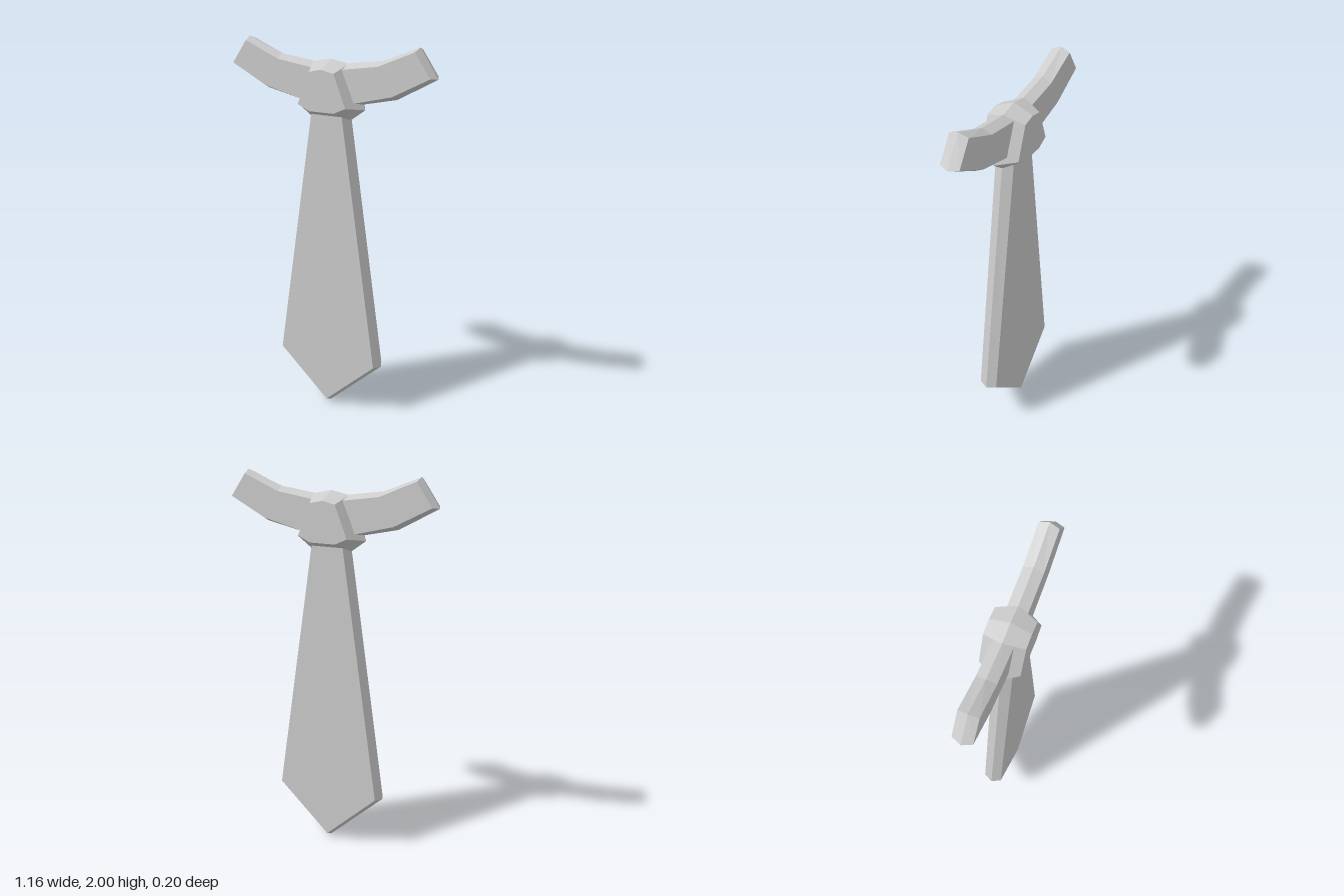
import * as THREE from 'three';

const material = new THREE.MeshStandardMaterial({ color: 0xcccccc, flatShading: true });

// Slab with a bevelled rim: wide outline at z = 0, inset outline at z = +-depth.
// Both outlines run counter-clockwise and have the same number of points.
function bevelledSlab(name, rim, face, depth) {
  const n = rim.length;
  const pos = [];
  const at = (p, z) => [p[0], p[1], z];
  const tri = (a, b, c) => pos.push(...a, ...b, ...c);
  const quad = (a, b, c, d) => { tri(a, b, c); tri(a, c, d); };

  // Sloping rims, front and back
  for (let i = 0; i < n; i++) {
    const j = (i + 1) % n;
    quad(at(rim[i], 0), at(rim[j], 0), at(face[j], depth), at(face[i], depth));
    quad(at(face[i], -depth), at(face[j], -depth), at(rim[j], 0), at(rim[i], 0));
  }
  // Flat faces
  const contour = face.map(([x, y]) => new THREE.Vector2(x, y));
  for (const [a, b, c] of THREE.ShapeUtils.triangulateShape(contour, [])) {
    tri(at(face[a], depth), at(face[b], depth), at(face[c], depth));
    tri(at(face[c], -depth), at(face[b], -depth), at(face[a], -depth));
  }
  const geometry = new THREE.BufferGeometry();
  geometry.setAttribute('position', new THREE.Float32BufferAttribute(pos, 3));
  geometry.computeVertexNormals();
  const mesh = new THREE.Mesh(geometry, material);
  mesh.name = name;
  return mesh;
}

// Mirrors points across x = 0 and reverses them to stay counter-clockwise
const mirror = (points) => points.map(([x, y]) => [-x, y]).reverse();

// Closes a right half (bottom to top) into a symmetric outline
const symmetric = (half) => [...half, ...mirror(half.filter(([x]) => x > 0))
  .filter(() => true)];

// Adds the centre points at the bottom and top of a symmetric outline
function outline(bottom, half, top) {
  const points = symmetric(half);
  if (top) points.splice(half.length, 0, top);
  return bottom ? [bottom, ...points] : points;
}

export function createModel() {
  const group = new THREE.Group();
  group.name = 'necktie';

  // Long hanging blade with a pointed tip
  group.add(bevelledSlab('blade',
    outline([0, 0.005], [[0.31, 0.285], [0.103, 1.69]]),
    outline([0, 0.03], [[0.286, 0.29], [0.083, 1.67]]),
    0.05));

  // Knot
  group.add(bevelledSlab('knot',
    outline(null, [[0.112, 1.612], [0.195, 1.672], [0.1, 1.895]], [0, 1.915]),
    outline(null, [[0.07, 1.66], [0.136, 1.69], [0.07, 1.857]], [0, 1.872]),
    0.102));

  // Neckband ends sweeping up from the knot
  const bandRim = [[0.04, 1.675], [0.16, 1.695], [0.37, 1.74], [0.58, 1.855],
    [0.484, 2.0], [0.288, 1.923], [0.09, 1.896], [0.04, 1.889]];
  const bandFace = [[0.05, 1.692], [0.158, 1.71], [0.362, 1.76], [0.56, 1.862],
    [0.477, 1.982], [0.283, 1.9], [0.09, 1.872], [0.05, 1.866]];
  group.add(bevelledSlab('leftNeckband', bandRim, bandFace, 0.05));
  group.add(bevelledSlab('rightNeckband', mirror(bandRim), mirror(bandFace), 0.05));

  return group;
}
